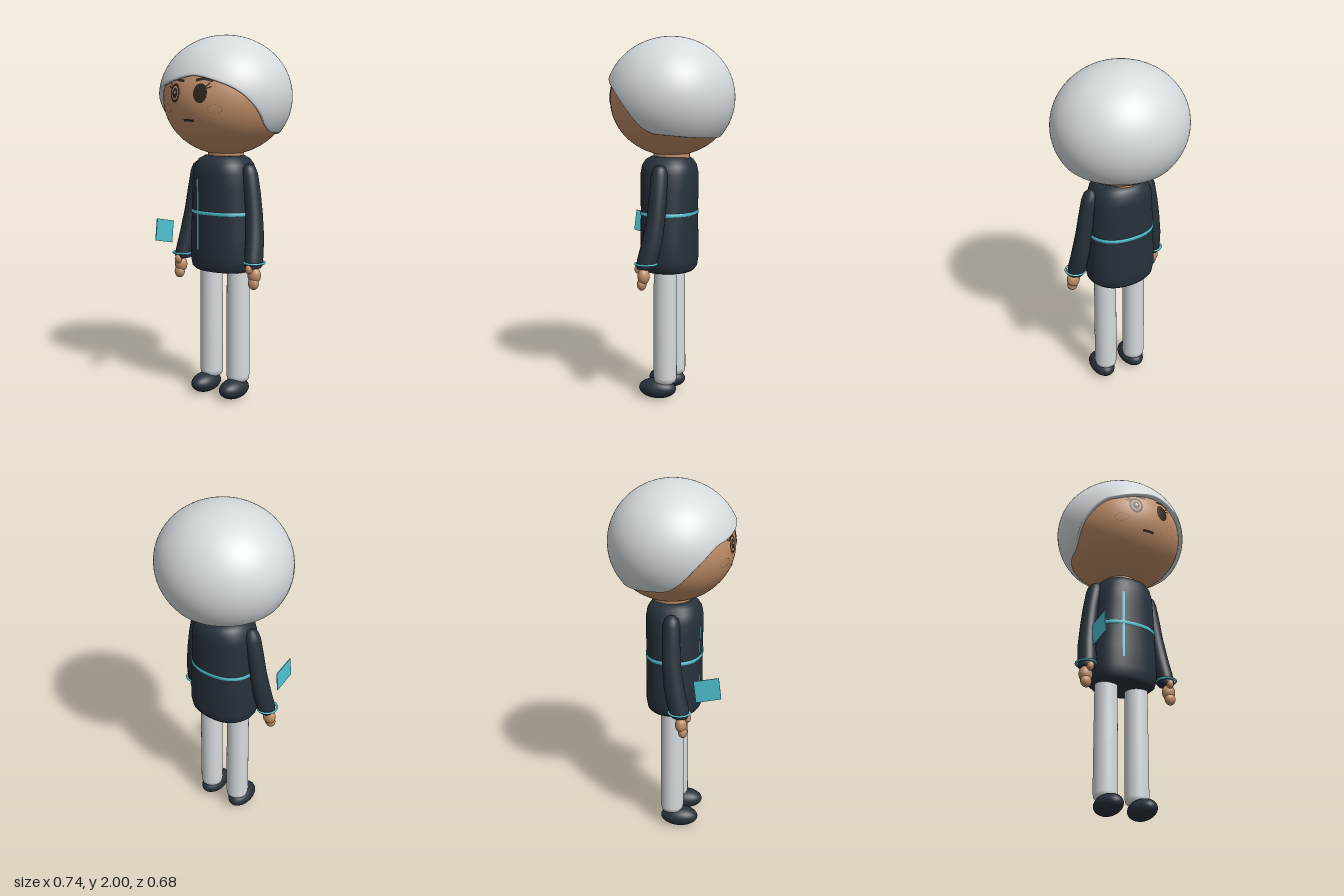
import * as THREE from 'three';

const mat = (name, color, extra = {}) => {
  const m = new THREE.MeshStandardMaterial({ color, ...extra });
  m.name = name;
  return m;
};

// Skins closed rings of points, listed from bottom to top, with smooth normals.
function loft(rings) {
  const n = rings[0].length, pos = [], idx = [];
  rings.forEach(r => r.forEach(p => pos.push(p[0], p[1], p[2])));
  for (let r = 0; r < rings.length - 1; r++) {
    for (let j = 0; j < n; j++) {
      const a = r * n + j, b = r * n + (j + 1) % n;
      idx.push(a, b, b + n, a, b + n, a + n);
    }
  }
  const g = new THREE.BufferGeometry();
  g.setAttribute('position', new THREE.Float32BufferAttribute(pos, 3));
  g.setIndex(idx);
  g.computeVertexNormals();
  return g;
}

// Superellipse ring around (cx, y, cz).
function ring(cx, y, cz, rx, rz, power = 2, n = 48) {
  const bend = v => Math.sign(v) * Math.abs(v) ** (2 / power);
  return Array.from({ length: n }, (_, j) => {
    const t = j / n * Math.PI * 2;
    return [cx + rx * bend(Math.sin(t)), y, cz + rz * bend(Math.cos(t))];
  });
}

// Smooth interpolation in a table of [position, value].
function lookup(table, t) {
  let i = 0;
  while (i < table.length - 2 && t > table[i + 1][0]) i++;
  const [a, va] = table[i], [b, vb] = table[i + 1];
  const m = k => k <= 0 || k >= table.length - 1 ? 0
    : (table[k + 1][1] - table[k - 1][1]) / (table[k + 1][0] - table[k - 1][0]);
  const h = b - a, u = Math.min(1, Math.max(0, (t - a) / h)), u2 = u * u, u3 = u2 * u;
  return (2 * u3 - 3 * u2 + 1) * va + (u3 - 2 * u2 + u) * h * m(i)
    + (3 * u2 - 2 * u3) * vb + (u3 - u2) * h * m(i + 1);
}

// Height of the hair edge by angle from the front, positive towards the left ear.
const HAIR_EDGE = [
  [-3.15, 1.46], [-2.4, 1.468], [-1.75, 1.485], [-1.5, 1.495], [-1.3, 1.54], [-1.06, 1.63],
  [-0.75, 1.72], [-0.52, 1.742], [-0.2, 1.77], [0.12, 1.79], [0.36, 1.777], [0.7, 1.735],
  [0.9, 1.69], [1.1, 1.62], [1.3, 1.535], [1.5, 1.495], [1.75, 1.485], [2.4, 1.468], [3.15, 1.46],
];

// Torso sections: height, half width, half depth.
const TORSO = [
  [0.715, 0, 0], [0.715, 0.12, 0.1], [0.722, 0.165, 0.135], [0.74, 0.187, 0.148], [0.79, 0.198, 0.155],
  [0.9, 0.195, 0.154], [1.05, 0.187, 0.152], [1.18, 0.18, 0.155], [1.26, 0.173, 0.155],
  [1.305, 0.16, 0.147], [1.335, 0.138, 0.128], [1.352, 0.108, 0.1], [1.358, 0.06, 0.06], [1.36, 0, 0],
];
const TORSO_Z = 0.012, TORSO_POWER = 2.3;
const torsoSize = y => [1, 2].map(k => lookup(TORSO.slice(1).map(s => [s[0], s[k]]), y));

// Arm sections: height, centre x, centre z, radius in x, radius in z.
const ARM = [
  [0.765, 0.247, 0.078, 0, 0], [0.765, 0.247, 0.078, 0.04, 0.045], [0.775, 0.246, 0.076, 0.046, 0.052],
  [0.82, 0.241, 0.066, 0.048, 0.057], [0.92, 0.23, 0.043, 0.048, 0.055], [1.05, 0.213, 0.027, 0.045, 0.05],
  [1.16, 0.196, 0.022, 0.045, 0.048], [1.26, 0.177, 0.02, 0.045, 0.046], [1.295, 0.172, 0.02, 0.036, 0.037],
  [1.31, 0.17, 0.02, 0.02, 0.021], [1.315, 0.17, 0.02, 0, 0],
];

export function createModel() {
  const root = new THREE.Group();
  const skin = mat('skin', 0xc18f69);
  const white = mat('pale grey', 0xd6dbde);
  const navy = mat('dark navy', 0x27313b);
  const teal = mat('teal', 0x4fc4d2, { side: THREE.DoubleSide });
  const ink = mat('dark brown', 0x32271f, { side: THREE.DoubleSide });
  const blush = mat('blush brown', 0x93684a, { side: THREE.DoubleSide });

  const add = (parent, name, geometry, material, p = [0, 0, 0], s = [1, 1, 1]) => {
    const m = new THREE.Mesh(geometry, material);
    m.name = name;
    m.position.set(...p);
    m.scale.set(...s);
    parent.add(m);
    return m;
  };
  const group = name => {
    const g = new THREE.Group();
    g.name = name;
    root.add(g);
    return g;
  };
  const ball = new THREE.SphereGeometry(1, 32, 24);

  // Head and neck
  const head = group('head');
  add(head, 'skull', new THREE.SphereGeometry(1, 64, 48), skin, [0, 1.66, 0], [0.345, 0.305, 0.335]);
  add(head, 'neck', new THREE.CylinderGeometry(0.1, 0.1, 0.07, 32), skin, [0, 1.36, 0]);

  // Hair: a cap with a wavy lower edge and a rounded rim turned in to the head
  const N = 128, ROWS = 32;
  const hairRing = (place) => Array.from({ length: N }, (_, j) => {
    const t = j / N * Math.PI * 2, a = t > Math.PI ? t - Math.PI * 2 : t;
    const edge = Math.asin((lookup(HAIR_EDGE, a) - 1.67) / 0.33);
    const [phi, k] = place(edge);
    const rz = 0.345 + 0.015 * Math.max(0, Math.cos(a));
    return [k * 0.37 * Math.cos(phi) * Math.sin(a), 1.67 + k * 0.33 * Math.sin(phi), k * rz * Math.cos(phi) * Math.cos(a)];
  });
  const hairRings = [[0.02, 0.9], [-0.01, 0.95], [-0.02, 0.975], [-0.014, 0.993]]
    .map(([d, k]) => hairRing(e => [e + d, k]));
  for (let i = 0; i <= ROWS; i++) {
    hairRings.push(hairRing(e => [e + (Math.PI / 2 - e) * Math.min(i / ROWS, 0.9999), 1]));
  }
  add(head, 'hair', loft(hairRings), white);

  // Face details, laid on the curve of the head
  const paint = (name, g, material, x, y, sx = 1, sy = 1, turn = 0, lift = 0.003) => {
    g.scale(sx, sy, 1).rotateZ(turn).translate(x, y, 0);
    const p = g.attributes.position;
    for (let i = 0; i < p.count; i++) {
      const u = p.getX(i) / 0.345, v = (p.getY(i) - 1.66) / 0.305;
      p.setZ(i, 0.335 * Math.sqrt(Math.max(0, 1 - u * u - v * v)) + lift);
    }
    g.computeVertexNormals();
    add(head, name, g, material);
  };
  const dash = (name, x, y, w, h, turn) => paint(name, new THREE.PlaneGeometry(w, h, 6, 1), ink, x, y, 1, 1, turn);
  const disc = r => new THREE.RingGeometry(0.0005, r, 32, 4);
  paint('leftEye', disc(0.038), ink, 0.084, 1.693, 1, 1.32);
  paint('rightEyeOutline', new THREE.RingGeometry(0.028, 0.038, 32, 2), ink, -0.084, 1.693, 1, 1.32);
  paint('rightPupil', disc(0.02), ink, -0.084, 1.693, 1, 1.32);
  paint('rightEyeHighlight', disc(0.006), white, -0.082, 1.697, 1, 1.3, 0, 0.005);
  for (const s of [1, -1]) {
    dash('eyelash', s * 0.128, 1.722, 0.03, 0.007, s * 0.35);
    dash('eyelash', s * 0.122, 1.737, 0.028, 0.007, s * 0.8);
    for (let i = 0; i < 10; i++) {
      const arc = new THREE.RingGeometry(0.032, 0.036, 3, 1, i * Math.PI / 5, 0.4);
      paint('cheekMark', arc, blush, s * 0.157, 1.612, 1, 0.68);
    }
  }
  dash('leftBrow', 0.075, 1.764, 0.05, 0.015, 0.2);
  dash('leftBrow', 0.12, 1.762, 0.05, 0.014, -0.25);
  dash('rightBrow', -0.05, 1.758, 0.055, 0.013, -0.1);
  dash('mouth', 0, 1.552, 0.068, 0.013, 0);

  // Jumper with chest band and vertical seam
  const torso = group('torso');
  add(torso, 'jumper', loft(TORSO.map(([y, w, d]) => ring(0, y, TORSO_Z, w, d, TORSO_POWER, 64))), navy);
  const bandRings = [[1.035, -0.003], [1.037, 0.004], [1.053, 0.004], [1.055, -0.003]].map(([y, out]) => {
    const [w, d] = torsoSize(y);
    return ring(0, y, TORSO_Z, w + out, d + out, TORSO_POWER, 64);
  });
  add(torso, 'chestBand', loft(bandRings), teal);
  const seam = new THREE.PlaneGeometry(0.013, 0.39, 1, 24).translate(-0.07, 1.035, 0);
  const sp = seam.attributes.position;
  for (let i = 0; i < sp.count; i++) {
    const [w, d] = torsoSize(sp.getY(i));
    const bulge = (1 - Math.abs(sp.getX(i) / w) ** TORSO_POWER) ** (1 / TORSO_POWER);
    sp.setZ(i, TORSO_Z + d * bulge + 0.003);
  }
  seam.computeVertexNormals();
  add(torso, 'frontSeam', seam, teal);

  // Arms, hands, legs and shoes
  for (const [side, s] of [['left', 1], ['right', -1]]) {
    const arm = group(side + 'Arm');
    add(arm, 'sleeve', loft(ARM.map(([y, x, z, rx, rz]) => ring(s * x, y, z, rx, rz, 2, 32))), navy);
    const cuff = new THREE.TorusGeometry(0.053, 0.006, 10, 40).rotateX(Math.PI / 2);
    add(arm, 'cuff', cuff, teal, [s * 0.25, 0.792, 0.074], [1, 1, 1.08]);
    add(arm, 'palm', ball, skin, [s * 0.258, 0.725, 0.085], [0.038, 0.045, 0.032]);
    add(arm, 'fingers', ball, skin, [s * 0.26, 0.682, 0.095], [0.031, 0.034, 0.025]);
    add(arm, 'thumb', ball, skin, [s * 0.247, 0.762, 0.118], [0.02, 0.026, 0.02]);

    const leg = group(side + 'Leg');
    const profile = [[0, 0.085], [0.045, 0.088], [0.06, 0.1], [0.065, 0.125], [0.064, 0.4], [0.062, 0.74]];
    const trouser = new THREE.LatheGeometry(profile.map(p => new THREE.Vector2(...p)), 40);
    add(leg, 'trouserLeg', trouser, white, [s * 0.094, 0, 0.012]);
    add(leg, 'shoe', ball, navy, [s * 0.1, 0.056, 0.055], [0.067, 0.056, 0.106]);
  }

  // Thin tilted card held ahead of the right arm
  const card = new THREE.Shape([[0.3, 0.89], [0.285, 1.01], [0.15, 0.982], [0.165, 0.86]]
    .map(([z, y]) => new THREE.Vector2(-z, y)));
  const plate = new THREE.ExtrudeGeometry(card, { depth: 0.005, bevelEnabled: false });
  add(root, 'card', plate.rotateY(Math.PI / 2), teal, [-0.258, 0, 0]);

  return root;
}
